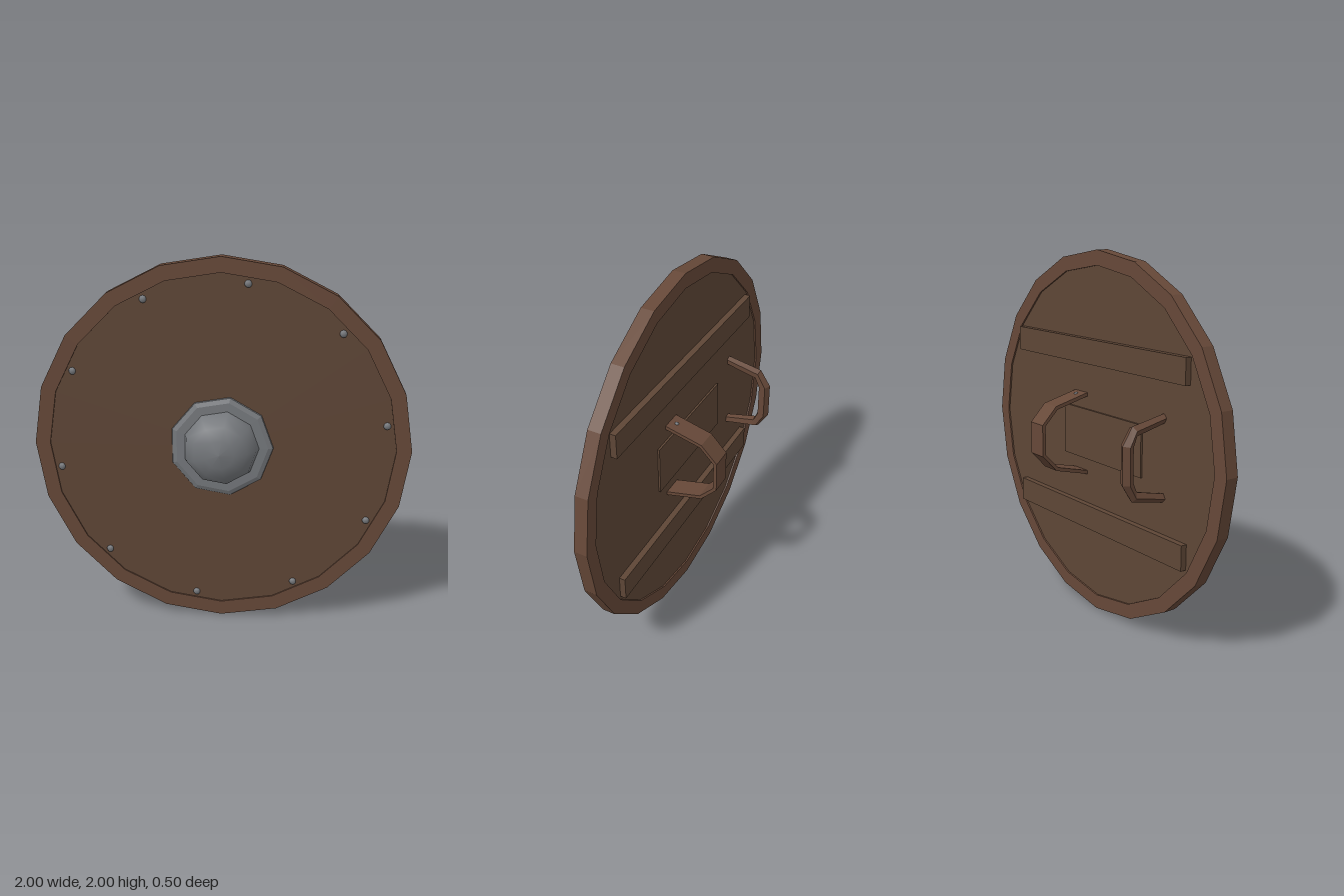
import * as THREE from 'three';

const mat = (name, color, side = THREE.FrontSide) => {
  const m = new THREE.MeshStandardMaterial({ color, side });
  m.name = name;
  return m;
};

// Lathe around the z axis; the first vertex lies on +x
function spin(points, sides, flat = true) {
  let g = new THREE.LatheGeometry(points.map(p => new THREE.Vector2(p[0], p[1])), sides);
  g.rotateX(Math.PI / 2).rotateZ(Math.PI / 2);
  if (flat) {
    g = g.toNonIndexed();
    g.computeVertexNormals();
  }
  return g;
}

// Sweep a section (x, outward offset) along a path of [y, z] points, with a scale at each point
function sweep(path, section, scales) {
  const n = section.length, pos = [];
  const rings = path.map((p, i) => {
    const a = path[Math.max(i - 1, 0)], b = path[Math.min(i + 1, path.length - 1)];
    const len = Math.hypot(b[0] - a[0], b[1] - a[1]);
    const ny = -(b[1] - a[1]) / len, nz = (b[0] - a[0]) / len;
    return section.map(([x, o]) => {
      const s = scales ? scales[i] : 1;
      return [x * s, p[0] + ny * o * s, p[1] + nz * o * s];
    });
  });
  for (let i = 0; i < rings.length - 1; i++) {
    for (let j = 0; j < n; j++) {
      const k = (j + 1) % n;
      const a = rings[i][j], b = rings[i][k], c = rings[i + 1][k], d = rings[i + 1][j];
      pos.push(...a, ...b, ...c, ...a, ...c, ...d);
    }
  }
  const g = new THREE.BufferGeometry();
  g.setAttribute('position', new THREE.Float32BufferAttribute(pos, 3));
  g.computeVertexNormals();
  return g;
}

// Complete a half path by mirroring it about y = 0
const mirrorPath = half => [...half, ...half.slice().reverse().map(([y, z]) => [-y, z])];

export function createModel() {
  const group = new THREE.Group();
  const wood = mat('wood brown', 0x5e4636);
  const leather = mat('leather brown', 0x664838, THREE.DoubleSide);
  const metal = mat('steel grey', 0x75787c);

  const add = (name, geometry, material, x = 0, y = 1, z = 0) => {
    const m = new THREE.Mesh(geometry, material);
    m.name = name;
    m.position.set(x, y, z);
    group.add(m);
    return m;
  };

  // Round board with a slightly raised rim on both sides
  add('board', spin([[0, 0.046], [0.93, 0.046], [0.93, 0.1], [0, 0.1]], 20), wood);
  add('rim', spin([[0.92, 0.037], [1, 0.037], [1, 0.108], [0.92, 0.108], [0.92, 0.037]], 20), leather);

  // Boss: bevelled nine-sided flange and smooth dome
  add('bossFlange', spin([[0.28, 0.095], [0.275, 0.108], [0.25, 0.118], [0.18, 0.12]], 9), metal);
  const dome = [];
  for (let i = 0; i <= 4; i++) {
    const a = (i * Math.PI) / 8;
    dome.push([0.205 * Math.cos(a), 0.112 + 0.138 * Math.sin(a)]);
  }
  add('bossDome', spin(dome, 9, false), metal);

  // Ring of rivets around the front
  const rivet = new THREE.SphereGeometry(0.02, 7, 5);
  for (let i = 0; i < 10; i++) {
    const a = ((9 + 36 * i) * Math.PI) / 180;
    const r = add('rivet', rivet, metal, 0.876 * Math.cos(a), 1 + 0.876 * Math.sin(a), 0.1);
    r.scale.z = 0.75;
  }

  // Back: two cross planks and a thin pad
  for (const s of [1, -1]) {
    add('crossPlank', new THREE.BoxGeometry(1.46, 0.135, 0.036), wood, 0, 1 + s * 0.465, 0.031);
  }
  add('backPad', new THREE.BoxGeometry(0.68, 0.28, 0.014), wood, -0.04, 1, 0.042);

  // Wide arm strap
  const strapPath = mirrorPath([[-0.222, 0.05], [-0.17, -0.155], [-0.083, -0.238]]);
  const strapSection = [[-0.057, -0.01], [0.057, -0.01], [0.057, 0.01], [-0.057, 0.01]];
  add('armStrap', sweep(strapPath, strapSection), leather, 0.155);
  for (const s of [1, -1]) {
    add('strapRivet', new THREE.SphereGeometry(0.013, 7, 5), metal, 0.155, 1 + s * 0.218, 0.012);
  }

  // Five-sided hand grip, thinner at its ends
  const gripPath = mirrorPath([[-0.205, 0.05], [-0.165, -0.14], [-0.095, -0.18]]);
  const gripSection = [];
  for (let i = 0; i < 5; i++) {
    const a = ((-100 + 72 * i) * Math.PI) / 180;
    gripSection.push([0.033 * Math.cos(a), 0.033 * Math.sin(a)]);
  }
  add('handGrip', sweep(gripPath, gripSection, [0.75, 0.9, 1, 1, 0.9, 0.75]), leather, -0.54);

  return group;
}
